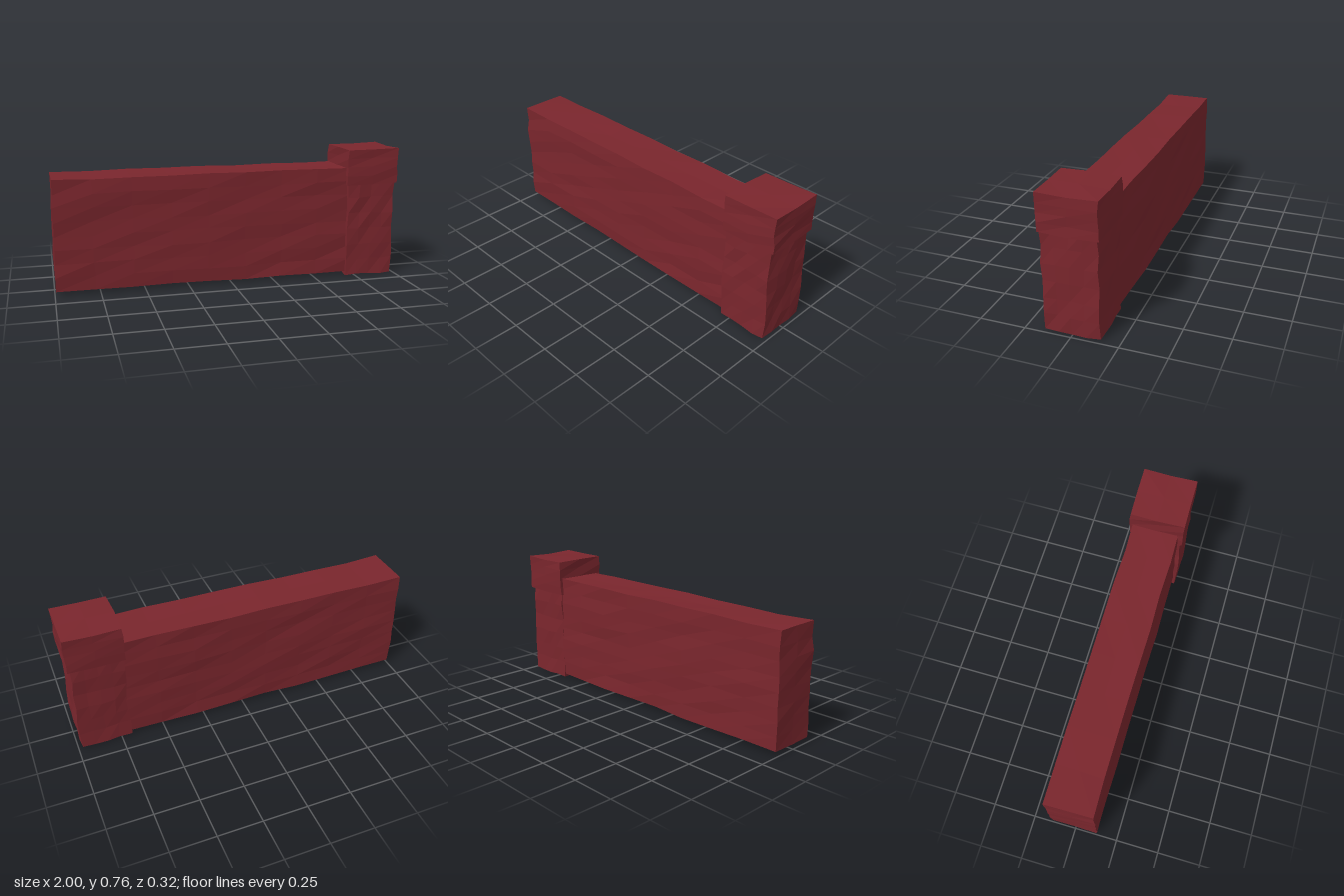
import * as THREE from 'three';

const brick = new THREE.MeshStandardMaterial({ color: 0x7a262d, flatShading: true });

// Repeatable value in -1..1 for a position, so shared corners move together
function noise(x, y, z, seed) {
  const s = Math.sin(Math.round(x * 1000) * 12.9898 + Math.round(y * 1000) * 78.233
    + Math.round(z * 1000) * 37.719 + seed * 91.17) * 43758.5453;
  return 2 * (s - Math.floor(s)) - 1;
}

// Subdivided block between two corners with a slightly rough, hand-hewn surface
function roughBlock(name, min, max, segments, rough) {
  const size = max.map((v, i) => v - min[i]);
  const geometry = new THREE.BoxGeometry(...size, ...segments);
  geometry.translate(...min.map((v, i) => v + size[i] / 2));
  const p = geometry.attributes.position;
  for (let i = 0; i < p.count; i++) {
    const [x, y, z] = [p.getX(i), p.getY(i), p.getZ(i)];
    p.setXYZ(i,
      x + rough * noise(x, y, z, 1),
      y + rough * noise(x, y, z, 2),
      z + rough * noise(x, y, z, 3));
  }
  geometry.computeVertexNormals();
  const mesh = new THREE.Mesh(geometry, brick);
  mesh.name = name;
  return mesh;
}

export function createModel() {
  const model = new THREE.Group();
  model.name = 'wallWithEndPost';
  model.add(
    // Long wall, running into the post
    roughBlock('wall', [-0.995, 0.028, -0.14], [0.72, 0.65, 0.132], [8, 8, 2], 0.005),
    // Square end post
    roughBlock('post', [0.692, 0.008, -0.145], [0.98, 0.57, 0.151], [4, 6, 4], 0.005),
    // Overhanging cap block
    roughBlock('postCap', [0.684, 0.553, -0.158], [0.995, 0.758, 0.158], [2, 4, 2], 0.004),
  );
  // Settle exactly on the ground
  model.position.y = -new THREE.Box3().setFromObject(model).min.y;
  return model;
}
